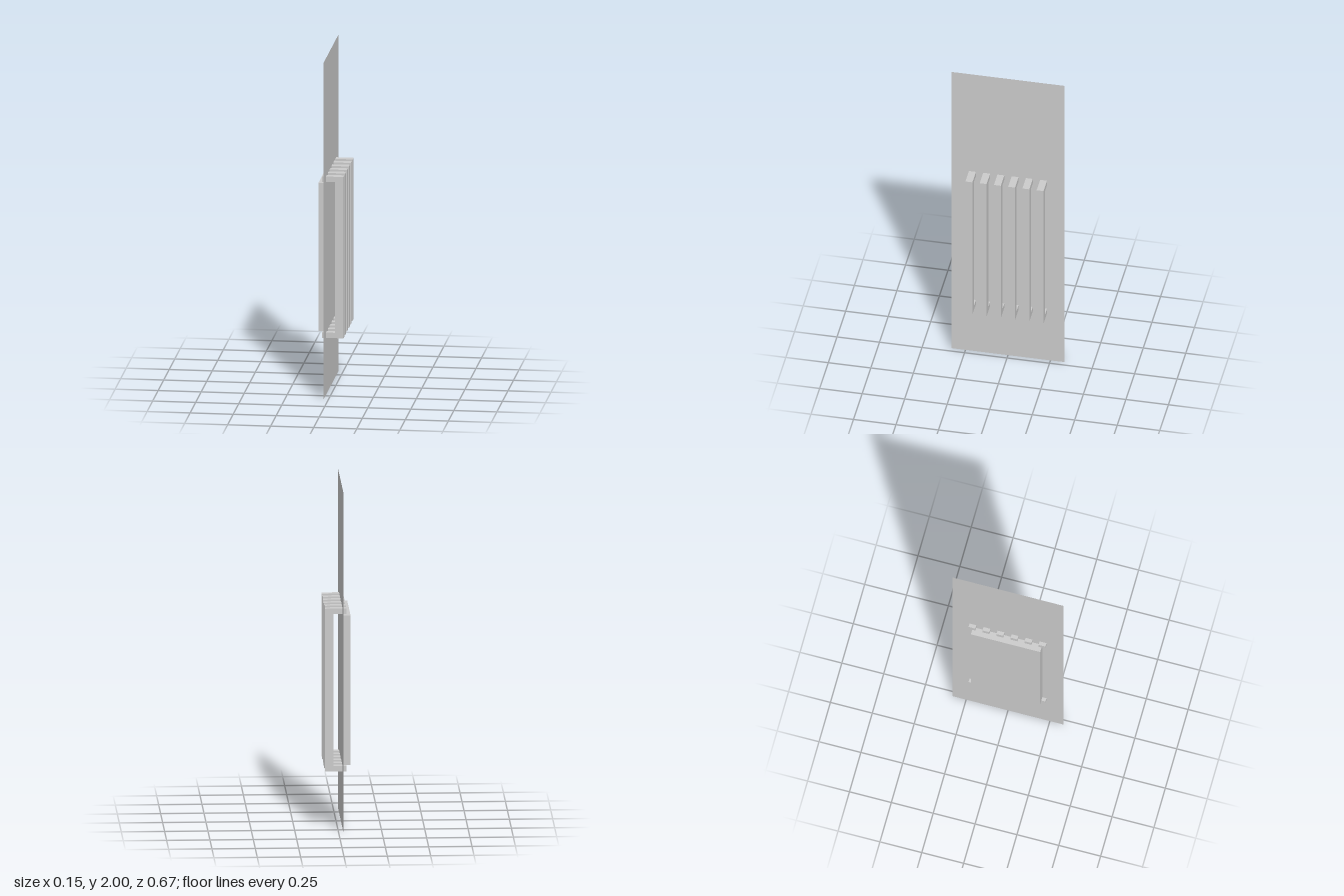
import * as THREE from 'three';

const material = new THREE.MeshStandardMaterial({ color: 0xcccccc, flatShading: true });
const panelMaterial = new THREE.MeshStandardMaterial({ color: 0xcccccc, side: THREE.DoubleSide });

export function createModel() {
  const group = new THREE.Group();
  const panelX = -0.028;

  // Thin upright door panel, facing +x
  const panel = new THREE.Mesh(new THREE.PlaneGeometry(0.665, 2), panelMaterial);
  panel.name = 'panel';
  panel.rotation.y = Math.PI / 2;
  panel.position.set(panelX, 1, 0);
  group.add(panel);

  // Backing slab on the -x side of the panel
  const slab = new THREE.Mesh(new THREE.BoxGeometry(0.046, 0.88, 0.414), material);
  slab.name = 'backingSlab';
  slab.position.set(panelX - 0.0235, 0.813, -0.002);
  group.add(slab);

  // C-shaped bar whose two arms pass through the panel
  const back = -0.05, inner = 0.026, outer = 0.0735;
  const bottom = 0.339, top = 1.298, arm = 0.032;
  const profile = new THREE.Shape([
    [back, bottom], [outer, bottom], [outer, top], [back, top],
    [back, top - arm], [inner, top - arm], [inner, bottom + arm], [back, bottom + arm],
  ].map(([x, y]) => new THREE.Vector2(x, y)));
  const depth = 0.041;
  const barGeometry = new THREE.ExtrudeGeometry(profile, { depth, bevelEnabled: false });

  // Row of six bars
  const bars = new THREE.Group();
  bars.name = 'bars';
  const count = 6, step = 0.0837;
  for (let i = 0; i < count; i++) {
    const bar = new THREE.Mesh(barGeometry, material);
    bar.name = `bar${i + 1}`;
    bar.position.z = (i - (count - 1) / 2) * step - depth / 2;
    bars.add(bar);
  }
  group.add(bars);

  return group;
}
